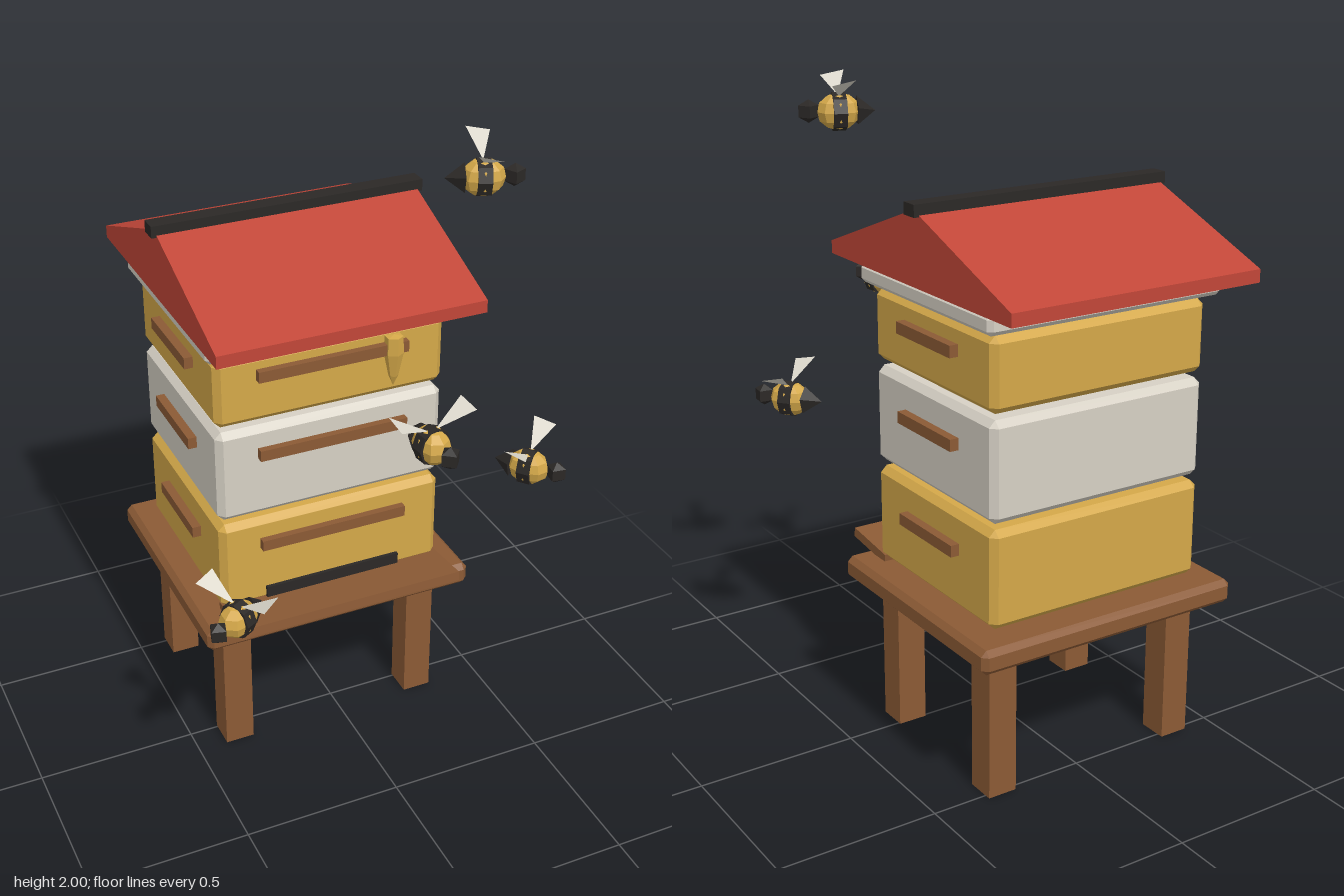
import * as THREE from 'three';
import { ConvexGeometry } from 'three/addons/geometries/ConvexGeometry.js';

const mat = (color, side = THREE.FrontSide) => new THREE.MeshStandardMaterial({ color, flatShading: true, side });
const wood = mat(0x8b5a35), gold = mat(0xd4a849), cream = mat(0xd6d0c4), red = mat(0xc14638);
const black = mat(0x2b2826), wingMat = mat(0xdcd8cc, THREE.DoubleSide);

const CX = -0.04, CZ = -0.217; // centre of the hive

function add(parent, name, geometry, material, x = 0, y = 0, z = 0) {
  const mesh = new THREE.Mesh(geometry, material);
  mesh.name = name;
  mesh.position.set(x, y, z);
  parent.add(mesh);
  return mesh;
}

const box = (w, h, d) => new THREE.BoxGeometry(w, h, d);

// Box with every edge cut at 45 degrees
function chamferBox(w, h, d, c) {
  const pts = [];
  for (const sx of [-1, 1]) for (const sy of [-1, 1]) for (const sz of [-1, 1]) {
    const x = w / 2, y = h / 2, z = d / 2;
    pts.push(new THREE.Vector3(sx * x, sy * (y - c), sz * (z - c)));
    pts.push(new THREE.Vector3(sx * (x - c), sy * y, sz * (z - c)));
    pts.push(new THREE.Vector3(sx * (x - c), sy * (y - c), sz * z));
  }
  return new ConvexGeometry(pts);
}

function createStand() {
  const g = new THREE.Group();
  g.name = 'stand';
  add(g, 'standTop', chamferBox(0.89, 0.075, 0.795, 0.017), wood, CX, 0.4925, CZ);
  for (const sx of [-1, 1]) for (const sz of [-1, 1])
    add(g, 'leg', box(0.093, 0.46, 0.093), wood, CX + sx * 0.32, 0.23, CZ + sz * 0.256);
  return g;
}

// One hive box with a long front grip and a short grip on each side
function createHiveBox(name, bottom, top, material, frontY, sideY) {
  const g = new THREE.Group();
  g.name = name;
  add(g, 'boxBody', chamferBox(0.732, top - bottom, 0.637, 0.02), material, CX, (top + bottom) / 2, CZ);
  add(g, 'frontGrip', box(0.477, 0.035, 0.04), wood, CX, frontY, 0.104);
  for (const s of [-1, 1])
    add(g, 'sideGrip', box(0.045, 0.036, 0.288), wood, CX + s * 0.371, sideY, CZ);
  return g;
}

function createRoof() {
  const g = new THREE.Group();
  g.name = 'roof';
  add(g, 'innerLid', chamferBox(0.794, 0.06, 0.696, 0.014), cream, CX, 1.442, CZ);
  // Gable profile in (z, y), swept along x
  const half = 0.478, width = 0.832;
  const s = new THREE.Shape([[-half, 1.474], [half, 1.474], [half, 1.513], [0, 1.692], [-half, 1.513]]
    .map(([a, b]) => new THREE.Vector2(a, b)));
  const gable = new THREE.ExtrudeGeometry(s, { depth: width, bevelEnabled: false });
  gable.translate(0, 0, -width / 2).rotateY(Math.PI / 2);
  add(g, 'gable', gable, red, CX, 0, CZ);
  add(g, 'ridgeCap', box(0.863, 0.036, 0.055), black, CX, 1.694, CZ - 0.002);
  return g;
}

// A bee facing +z
function createBee(x, y, z, dx, dz) {
  const g = new THREE.Group();
  g.name = 'bee';
  const body = new THREE.SphereGeometry(0.05, 8, 6).scale(0.98, 1.08, 1.3);
  add(g, 'beeBody', body, gold);
  add(g, 'beeBand', new THREE.CylinderGeometry(0.053, 0.053, 0.04, 8).rotateX(Math.PI / 2), black).scale.set(0.97, 1.06, 1);
  add(g, 'beeHead', new THREE.SphereGeometry(0.034, 4, 3), black, 0, 0.004, 0.088);
  add(g, 'stinger', new THREE.ConeGeometry(0.044, 0.055, 5).rotateX(-Math.PI / 2), black, 0, 0, -0.08);
  // Thin triangular wings, narrow at the root
  for (const s of [-1, 1]) {
    const wing = new THREE.BufferGeometry().setFromPoints([
      new THREE.Vector3(s * 0.01, 0.045, 0),
      new THREE.Vector3(s * 0.122, 0.09, 0.035),
      new THREE.Vector3(s * 0.118, 0.104, -0.035),
    ]);
    wing.computeVertexNormals();
    add(g, 'wing', wing, wingMat);
  }
  g.position.set(x, y, z);
  g.rotation.y = Math.atan2(dx, dz);
  return g;
}

export function createModel() {
  const model = new THREE.Group();
  model.name = 'beehive';
  model.add(createStand());
  model.add(createHiveBox('lowerBox', 0.54, 0.842, gold, 0.758, 0.73));
  model.add(createHiveBox('middleBox', 0.86, 1.162, cream, 1.076, 1.05));
  model.add(createHiveBox('upperBox', 1.18, 1.4, gold, 1.338, 1.322));
  model.add(createRoof());

  // Entrance slot and tilted landing board
  add(model, 'entrance', box(0.447, 0.055, 0.03), black, CX, 0.567, 0.098);
  add(model, 'landingBoard', box(0.732, 0.03, 0.193), wood, CX, 0.549, 0.165).rotation.x = -0.12;

  // Honey drip on the upper box
  const drip = new THREE.LatheGeometry([[0, -0.09], [0.015, -0.055], [0.03, 0.02], [0.028, 0.075], [0, 0.08]]
    .map(([r, h]) => new THREE.Vector2(r, h)), 6);
  add(model, 'honeyDrip', drip, gold, 0.152, 1.303, 0.115);

  // Bees: position, then heading in x and z
  for (const b of [
    [0.343, 1.892, 0.255, 42, 15],
    [0.473, 1.0, 0.385, 28, 36],
    [-0.487, 0.775, 0.445, -40, 23],
    [0.04, 1.287, 0.575, 6, 46],
  ]) model.add(createBee(...b));
  return model;
}
